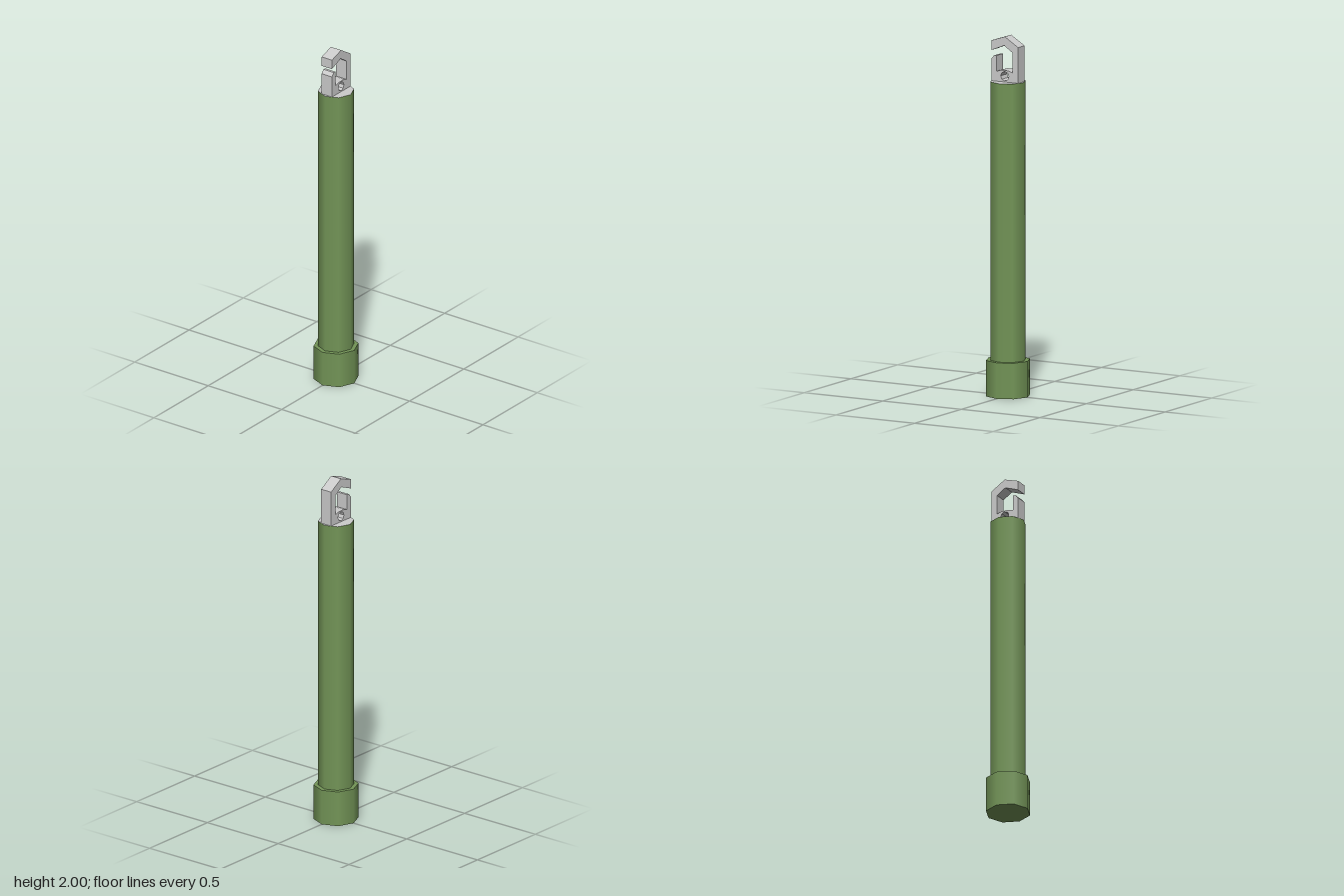
import * as THREE from 'three';

export function createModel() {
  const group = new THREE.Group();
  const green = new THREE.MeshStandardMaterial({ color: 0x739557 });
  const grey = new THREE.MeshStandardMaterial({ color: 0xcccccc });

  const add = (name, geometry, material) => {
    const mesh = new THREE.Mesh(geometry, material);
    mesh.name = name;
    group.add(mesh);
    return mesh;
  };

  // Octagonal tube and the wider cap it stands on; materials are side, top, bottom
  const bottom = 0.2, top = 1.748;
  add('tube', new THREE.CylinderGeometry(0.1, 0.1, top - bottom, 8), [green, grey, green])
    .position.y = (top + bottom) / 2;
  add('baseCap', new THREE.CylinderGeometry(0.124, 0.124, bottom, 8), green)
    .position.y = bottom / 2;

  // Open hook profile (z, y), with a small cord hole at its foot
  const profile = [
    [0.085, top], [0.085, 1.87], [0.068, 1.89], [0.053, 1.89], [0.053, 1.803],
    [0.024, 1.812], [-0.024, 1.812], [-0.049, 1.803], [-0.049, 1.915], [0.004, 1.95],
    [0.085, 1.918], [0.085, 1.972], [0, 2], [-0.085, 1.947], [-0.085, top],
  ];
  const shape = new THREE.Shape(profile.map(([z, y]) => new THREE.Vector2(z, y)));
  const hole = [];
  for (let i = 0; i < 8; i++) {
    const a = (i / 8) * Math.PI * 2;
    hole.push(new THREE.Vector2(0.026 * Math.cos(a), 1.78 + 0.026 * Math.sin(a)));
  }
  shape.holes.push(new THREE.Path(hole));

  const width = 0.07;
  const hook = new THREE.ExtrudeGeometry(shape, { depth: width, bevelEnabled: false });
  hook.translate(0, 0, -width / 2).rotateY(-Math.PI / 2);
  add('hook', hook, grey);

  return group;
}
